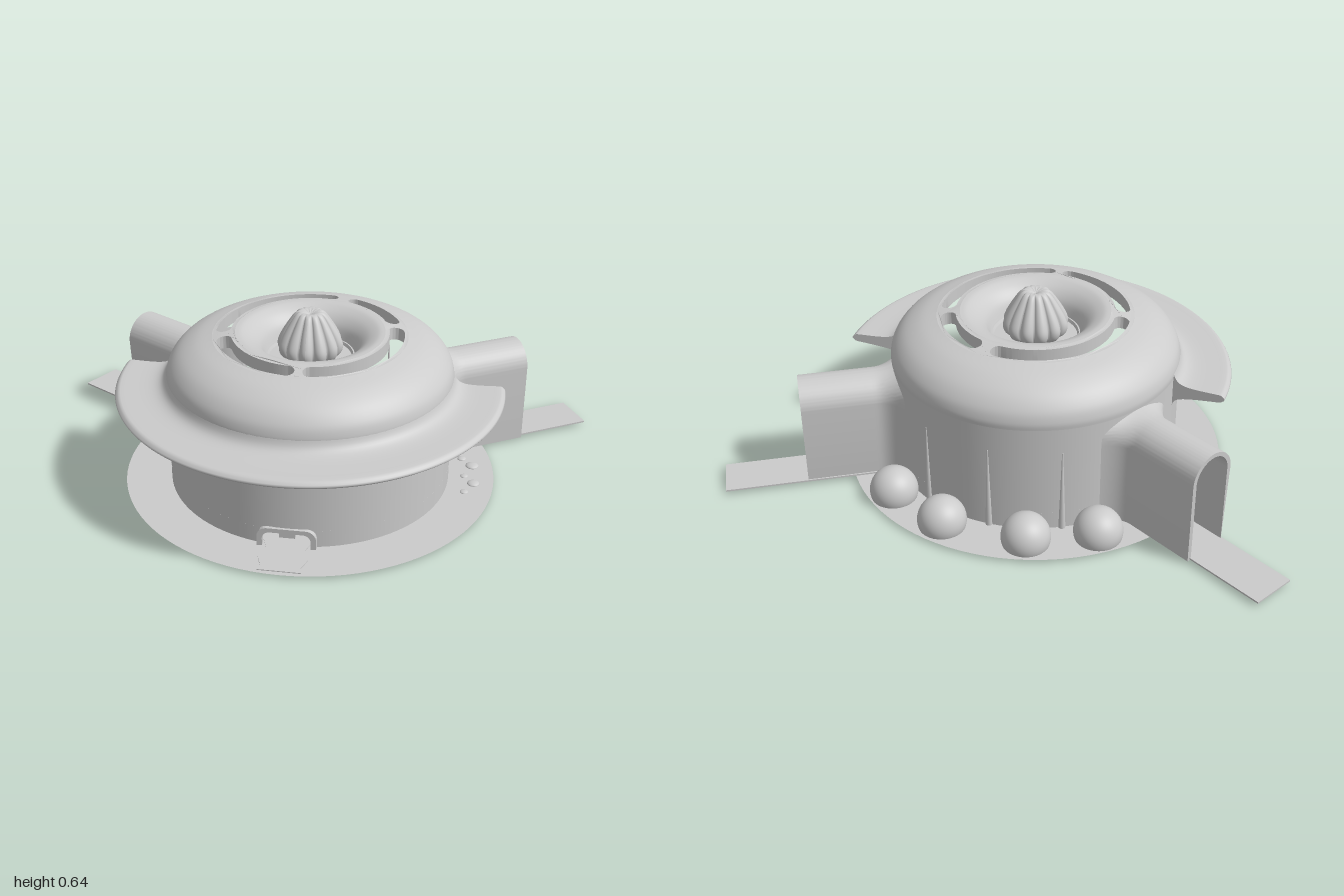
import * as THREE from 'three';
import { toCreasedNormals } from 'three/addons/utils/BufferGeometryUtils.js';

const grey = new THREE.MeshStandardMaterial({ color: 0xcccccc });
const thin = new THREE.MeshStandardMaterial({ color: 0xcccccc, side: THREE.DoubleSide });
const SEG = 96;
const R = 0.503;
const BASE = 0.01;

function add(parent, name, geometry, material = grey) {
  const mesh = new THREE.Mesh(geometry, material);
  mesh.name = name;
  parent.add(mesh);
  return mesh;
}
const vecs = (pts) => pts.map(([x, y]) => new THREE.Vector2(x, y));
const smooth = (pts, n) => new THREE.SplineCurve(vecs(pts)).getPoints(n);

// Moves every vertex of a geometry by a rule
function reshape(geometry, rule) {
  const p = geometry.attributes.position;
  const v = new THREE.Vector3();
  for (let i = 0; i < p.count; i++) {
    rule(v.fromBufferAttribute(p, i));
    p.setXYZ(i, v.x, v.y, v.z);
  }
  geometry.computeVertexNormals();
  return geometry;
}

// Curved slot with round ends, angles in degrees
function slotPath(r, w, from, to) {
  const a = THREE.MathUtils.degToRad(from), b = THREE.MathUtils.degToRad(to);
  const path = new THREE.Path();
  path.absarc(0, 0, r + w, a, b, false);
  path.absarc(r * Math.cos(b), r * Math.sin(b), w, b, b + Math.PI, false);
  path.absarc(0, 0, r - w, b, a, true);
  path.absarc(r * Math.cos(a), r * Math.sin(a), w, a + Math.PI, a + 2 * Math.PI, false);
  return path;
}

// Upside-down U outline with wall thickness t
function archShape(half, top, t) {
  const s = new THREE.Shape();
  s.moveTo(half, 0);
  s.absarc(0, top - half, half, 0, Math.PI, false);
  s.lineTo(-half, 0);
  s.lineTo(-half + t, 0);
  s.absarc(0, top - half, half - t, Math.PI, 0, true);
  s.lineTo(half - t, 0);
  return s;
}

function addHousing(g) {
  // Lower wall leaves a gap at the front for the outlet
  const gap = 0.165;
  add(g, 'lowerWall', new THREE.LatheGeometry(vecs([[R, BASE], [R, 0.072]]), SEG, gap, Math.PI * 2 - 2 * gap));
  add(g, 'upperWall', new THREE.LatheGeometry(vecs([[R, 0.072], [R, 0.4]]), SEG));
  add(g, 'dome', new THREE.LatheGeometry(smooth(
    [[R, 0.4], [R, 0.425], [0.49, 0.462], [0.455, 0.502], [0.4, 0.534], [0.34, 0.553]], 24), SEG));

  // Slotted ring let into the dome
  const ring = new THREE.Shape().absarc(0, 0, 0.34, 0, Math.PI * 2, false);
  ring.holes.push(new THREE.Path().absarc(0, 0, 0.26, 0, Math.PI * 2, true));
  for (const [a, b] of [[84, 184], [26, 66], [-81, 10], [201, 264]]) {
    ring.holes.push(slotPath(0.301, 0.026, a, b));
  }
  const depth = 0.045;
  const ringGeo = new THREE.ExtrudeGeometry(ring, { depth, bevelEnabled: false, curveSegments: SEG / 2 });
  ringGeo.rotateX(-Math.PI / 2);
  reshape(ringGeo, (v) => {
    const t = (Math.hypot(v.x, v.z) - 0.26) / 0.08;
    v.y += 0.566 - 0.013 * t - depth;
  });
  add(g, 'slottedRing', toCreasedNormals(ringGeo, 0.6));

  // Funnel, step and floor around the reamer
  add(g, 'funnel', new THREE.LatheGeometry(smooth(
    [[0.26, 0.566], [0.235, 0.563], [0.2, 0.545], [0.172, 0.515], [0.155, 0.475]], 20), SEG));
  add(g, 'bowlFloor', toCreasedNormals(new THREE.LatheGeometry(
    vecs([[0.155, 0.475], [0.15, 0.475], [0.145, 0.465], [0, 0.465]]), SEG), 0.5));
}

function addReamer(g) {
  // Twelve-ribbed squeezing cone
  const profile = smooth([[0.075, 0.465], [0.105, 0.485], [0.115, 0.515], [0.104, 0.55],
    [0.078, 0.595], [0.052, 0.63], [0.03, 0.636], [0, 0.626]], 32);
  const geo = reshape(new THREE.LatheGeometry(profile, 144), (v) => {
    const wave = Math.abs(Math.cos(Math.atan2(v.x, v.z) * 6));
    const k = 0.8 + 0.2 * Math.pow(wave, 0.6);
    v.x *= k;
    v.z *= k;
  });
  add(g, 'reamer', geo);
}

function addBrim(g) {
  // Half-round brim, flared where it meets the wall
  const profile = [...smooth([[0.5, 0.285], [0.508, 0.31], [0.53, 0.325], [0.58, 0.335], [0.665, 0.345]], 14),
    ...smooth([[0.672, 0.347], [0.684, 0.359], [0.672, 0.372]], 6),
    ...smooth([[0.665, 0.374], [0.58, 0.375], [0.535, 0.382], [0.512, 0.4], [0.5, 0.43]], 14)];
  const over = 0.075, start = -Math.PI / 2 - over;
  add(g, 'brim', new THREE.LatheGeometry(profile, SEG, start, Math.PI + 2 * over));
  for (const s of [-1, 1]) {
    const end = add(g, 'brimEnd', new THREE.ShapeGeometry(new THREE.Shape(profile)), thin);
    end.rotation.y = s > 0 ? over : Math.PI - over;
  }
}

function addChute(g, s) {
  const chute = new THREE.Group();
  chute.name = s > 0 ? 'leftChute' : 'rightChute';
  chute.rotation.y = s * Math.PI * 2 / 3;
  g.add(chute);

  // Arched tunnel widening into the housing
  const near = 0.46, far = 0.827;
  const tunnel = new THREE.ExtrudeGeometry(archShape(0.0875, 0.38, 0.015),
    { depth: far - near, steps: 30, bevelEnabled: false, curveSegments: 24 });
  reshape(tunnel, (v) => {
    const t = Math.max(0, 1 - (v.z + near - 0.48) / 0.09);
    const flare = 0.06 * t * t;
    v.x += Math.sign(v.x) * flare * Math.min(1, Math.abs(v.x) / 0.08);
    if (v.y > 0.3) v.y += flare * 0.3;
    v.y += BASE;
    v.z += near;
  });
  add(chute, 'tunnel', toCreasedNormals(tunnel, 0.6));

  // Flat spill running out of the tunnel
  const spill = new THREE.BoxGeometry(0.156, 0.006, 0.64);
  spill.translate(0, 0.016, 0.79);
  add(chute, 'spill', spill);
}

function addOutlet(g) {
  // Framed opening, inner spout and puddle at the front
  const rounded = (w, h, r, Type) => {
    const p = new Type();
    p.moveTo(-w, 0);
    p.lineTo(w, 0);
    p.lineTo(w, h - r);
    p.absarc(w - r, h - r, r, 0, Math.PI / 2, false);
    p.absarc(-w + r, h - r, r, Math.PI / 2, Math.PI, false);
    p.lineTo(-w, 0);
    return p;
  };
  const shape = rounded(0.1, 0.07, 0.035, THREE.Shape);
  shape.holes.push(rounded(0.082, 0.054, 0.026, THREE.Path));
  const frame = new THREE.ExtrudeGeometry(shape, { depth: 0.024, bevelEnabled: false });
  frame.translate(0, BASE, 0.488);
  add(g, 'outletFrame', toCreasedNormals(frame, 0.6));
  add(g, 'outletSpout', new THREE.BoxGeometry(0.055, 0.028, 0.04)).position.set(0, 0.05, 0.475);
  const puddle = new THREE.BoxGeometry(0.15, 0.003, 0.2, 8, 1, 8);
  reshape(puddle, (v) => { v.x *= 1 + 0.12 * Math.sin(v.z * 60); });
  add(g, 'outletPuddle', puddle).position.set(0, 0.0125, 0.55);
}

export function createModel() {
  const model = new THREE.Group();
  model.name = 'juicer';
  const g = new THREE.Group();
  g.name = 'body';
  g.position.z = -0.012;
  model.add(g);

  // Ground plate with rings underneath
  const plate = new THREE.CircleGeometry(0.666, SEG).rotateX(-Math.PI / 2);
  add(g, 'groundPlate', plate, thin).position.y = BASE;
  for (const r of [0.11, 0.04]) {
    const ring = add(g, 'plateRing', new THREE.TorusGeometry(r, 0.006, 8, 48).rotateX(Math.PI / 2));
    ring.position.y = BASE - 0.001;
  }

  addHousing(g);
  addReamer(g);
  addBrim(g);
  addChute(g, 1);
  addChute(g, -1);
  addOutlet(g);

  // Balls along the back, cut off at the ground
  const ballGeo = new THREE.SphereGeometry(0.083, 40, 24, 0, Math.PI * 2, 0, Math.acos(-0.025 / 0.083));
  for (const [x, z] of [[0.364, -0.453], [0.147, -0.556]]) {
    for (const s of [-1, 1]) add(g, 'ball', ballGeo).position.set(s * x, 0.035, z);
  }

  // Slim tapering ribs on the back wall between the balls
  for (const a of [-28, 0, 28]) {
    const t = THREE.MathUtils.degToRad(a);
    const rib = add(g, 'backRib', new THREE.CylinderGeometry(0.002, 0.012, 0.3, 10));
    rib.position.set(R * Math.sin(t), 0.16, -R * Math.cos(t));
  }

  // Droplets on the plate
  for (const [x, z, r] of [[0.545, -0.145, 0.016], [0.585, -0.1, 0.024], [0.56, -0.025, 0.014],
    [0.595, 0.02, 0.022], [0.565, 0.08, 0.015]]) {
    const drop = add(g, 'droplet', new THREE.SphereGeometry(r, 20, 12));
    drop.scale.y = 0.4;
    drop.position.set(x, BASE, z);
  }
  return model;
}
